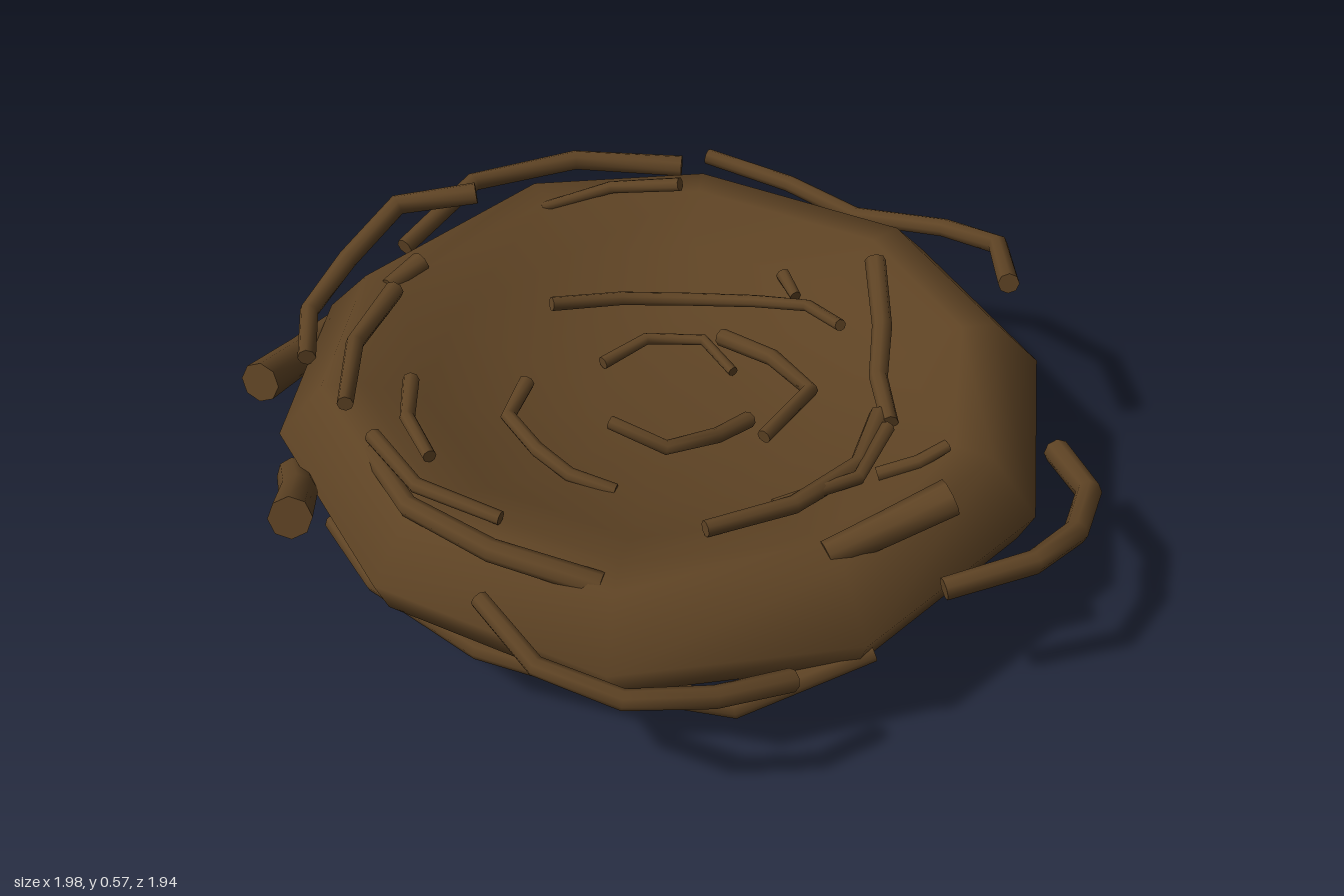
import * as THREE from 'three';

const brown = new THREE.MeshStandardMaterial({ color: 0x5e4324 });
brown.name = 'twig brown';

// Outline of the widest ring, ten uneven corners [x, z]
const OUTLINE = [
  [-0.04, 0.89], [0.52, 0.72], [0.85, 0.27], [0.85, -0.3], [0.5, -0.75],
  [0, -0.91], [-0.6, -0.72], [-0.92, -0.33], [-0.91, 0.32], [-0.6, 0.72],
];

// Rings from the underside, over the rim, to the hollow: [scale, height, tilt]
const RINGS = [
  [0, 0, 0], [0.45, 0.03, 0.3], [0.8, 0.15, 1], [0.96, 0.25, 2], [1, 0.325, 1.5],
  [0.88, 0.45, 1], [0.78, 0.455, 0.9], [0.62, 0.39, 0.5], [0.42, 0.325, 0], [0.2, 0.305, 0], [0, 0.3, 0],
];

// Skins a stack of rings, leaving out the listed gaps
function loft(rings, skip = []) {
  const sides = rings[0].length;
  const index = [];
  for (let i = 0; i < rings.length - 1; i++) {
    if (skip.includes(i)) continue;
    for (let j = 0; j < sides; j++) {
      const a = i * sides + j, b = i * sides + (j + 1) % sides;
      index.push(a, b, b + sides, a, b + sides, a + sides);
    }
  }
  const geometry = new THREE.BufferGeometry().setFromPoints(rings.flat());
  geometry.setIndex(index);
  geometry.computeVertexNormals();
  return geometry;
}

function bowlGeometry() {
  const cx = -0.03;
  const geometry = loft(RINGS.map(([s, y, tilt]) => OUTLINE.map(([x, z]) =>
    new THREE.Vector3(cx + (x - cx) * s, y - tilt * (0.015 * x + 0.022 * z), z * s))));
  // The collapsed end rings point straight down and up
  const normal = geometry.attributes.normal;
  for (let j = 0; j < OUTLINE.length; j++) {
    normal.setXYZ(j, 0, -1, 0);
    normal.setXYZ(normal.count - 1 - j, 0, 1, 0);
  }
  return geometry;
}

// Bent stick with flat cut ends, slightly thinner at its tip
function twigGeometry(points, thickness) {
  const sides = 8, last = points.length - 1;
  const up = new THREE.Vector3(0, 1, 0);
  const ring = (i, r) => {
    const t = points[Math.min(i + 1, last)].clone().sub(points[Math.max(i - 1, 0)]).normalize();
    const u = new THREE.Vector3().crossVectors(up, t).normalize();
    const v = new THREE.Vector3().crossVectors(t, u);
    return Array.from({ length: sides }, (_, j) => {
      const a = (j / sides) * Math.PI * 2;
      return points[i].clone().addScaledVector(u, r * Math.cos(a)).addScaledVector(v, r * Math.sin(a));
    });
  };
  const size = (i) => thickness * (1 - 0.2 * i / last);
  const body = points.map((_, i) => ring(i, size(i)));
  const rings = [ring(0, 0), ring(0, size(0)), ...body, ring(last, size(last)), ring(last, 0)];
  return loft(rings, [1, rings.length - 3]);
}

// Twigs follow the dished hollow unless given heights
const floorHeight = (r) => 0.335 + 0.26 * r * r;

export function createModel() {
  const nest = new THREE.Group();
  nest.name = 'nest';

  const bowl = new THREE.Mesh(bowlGeometry(), brown);
  bowl.name = 'bowl';
  nest.add(bowl);

  // A twig winds from one bearing to another (degrees, front = 0, +x = 90) in even steps
  const addTwig = (name, thickness, from, to, radii, heights = radii.map(floorHeight)) => {
    const points = radii.map((r, i) => {
      const a = THREE.MathUtils.degToRad(THREE.MathUtils.lerp(from, to, i / (radii.length - 1)));
      return new THREE.Vector3(r * Math.sin(a), heights[i], r * Math.cos(a));
    });
    const twig = new THREE.Mesh(twigGeometry(points, thickness), brown);
    twig.name = name;
    nest.add(twig);
  };

  // Outside and over the rim
  addTwig('backTwig', 0.026, 150, 220, [0.83, 0.92, 0.95, 0.86, 0.93, 0.99], [0.54, 0.5, 0.42, 0.41, 0.41, 0.43]);
  addTwig('leftBackTwig', 0.032, 130, 87, [0.91, 0.99, 1, 0.98, 0.87], [0.26, 0.29, 0.32, 0.36, 0.33]);
  addTwig('leftFrontTwig', 0.026, 61, 17, [0.9, 0.97, 0.99, 0.97, 0.87], [0.27, 0.32, 0.33, 0.37, 0.41]);
  addTwig('lowFrontTwig', 0.03, 75, -30, [0.85, 0.83, 0.76, 0.79, 0.83, 0.83], [0.24, 0.15, 0.14, 0.17, 0.21, 0.15]);
  addTwig('frontRimTwig', 0.028, 33, -22, [0.74, 0.77, 0.77, 0.745], [0.41, 0.455, 0.445, 0.42]);
  addTwig('frontStub', 0.05, -16, -36, [0.97, 0.91, 0.91], [0.38, 0.31, 0.24]);
  addTwig('rightStub', 0.05, -49, -72, [1, 0.96, 0.95], [0.35, 0.3, 0.27]);
  addTwig('rightBackTwig', 0.028, -136, -85, [0.92, 0.98, 0.98, 0.91], [0.44, 0.445, 0.45, 0.4]);
  addTwig('rightFrontTwig', 0.028, -97, -55, [0.83, 0.95, 0.97, 0.975, 0.91], [0.52, 0.5, 0.42, 0.37, 0.36]);
  addTwig('leftRimStub', 0.042, 92, 72, [0.81, 0.75, 0.72], [0.51, 0.46, 0.42]);
  addTwig('rightRimStub', 0.028, -78, -70, [0.755, 0.78], [0.47, 0.45]);
  addTwig('rightRimTwig', 0.018, -136, -108, [0.665, 0.75, 0.76], [0.54, 0.49, 0.46]);
  addTwig('innerBackRise', 0.026, 169, 118, [0.59, 0.52, 0.48, 0.52], [0.53, 0.46, 0.42, 0.4]);

  // Finer twigs lying in the hollow
  addTwig('innerTwig1', 0.024, -67, -30, [0.74, 0.757, 0.775]);
  addTwig('innerTwig2', 0.02, -42, -14, [0.62, 0.64, 0.64]);
  addTwig('innerTwig3', 0.02, -21, 11, [0.74, 0.735, 0.67]);
  addTwig('innerTwig4', 0.018, -92, -213, [0.45, 0.42, 0.41, 0.41, 0.4, 0.4], [0.4, 0.37, 0.36, 0.39, 0.46, 0.51]);
  addTwig('innerTwig5', 0.016, -90, -180, [0.25, 0.275, 0.27, 0.2], [0.33, 0.34, 0.34, 0.33]);
  addTwig('innerTwig6', 0.022, 200, 92, [0.27, 0.27, 0.32, 0.28], [0.36, 0.38, 0.41, 0.39]);
  addTwig('innerTwig7', 0.02, 105, 9, [0.2, 0.21, 0.27, 0.25], [0.37, 0.39, 0.42, 0.44]);
  addTwig('innerTwig8', 0.02, -50, 21, [0.355, 0.4, 0.37, 0.36, 0.33], [0.38, 0.37, 0.35, 0.34, 0.32]);
  addTwig('innerTwig9', 0.024, 121, 52, [0.49, 0.52, 0.526, 0.55]);
  addTwig('innerTwig10', 0.018, 115, 71, [0.52, 0.553, 0.5]);
  addTwig('innerTwig11', 0.018, 96, 107, [0.583, 0.65, 0.69], [0.42, 0.45, 0.47]);
  addTwig('innerTwig12', 0.018, 194, 186, [0.526, 0.478]);
  return nest;
}
